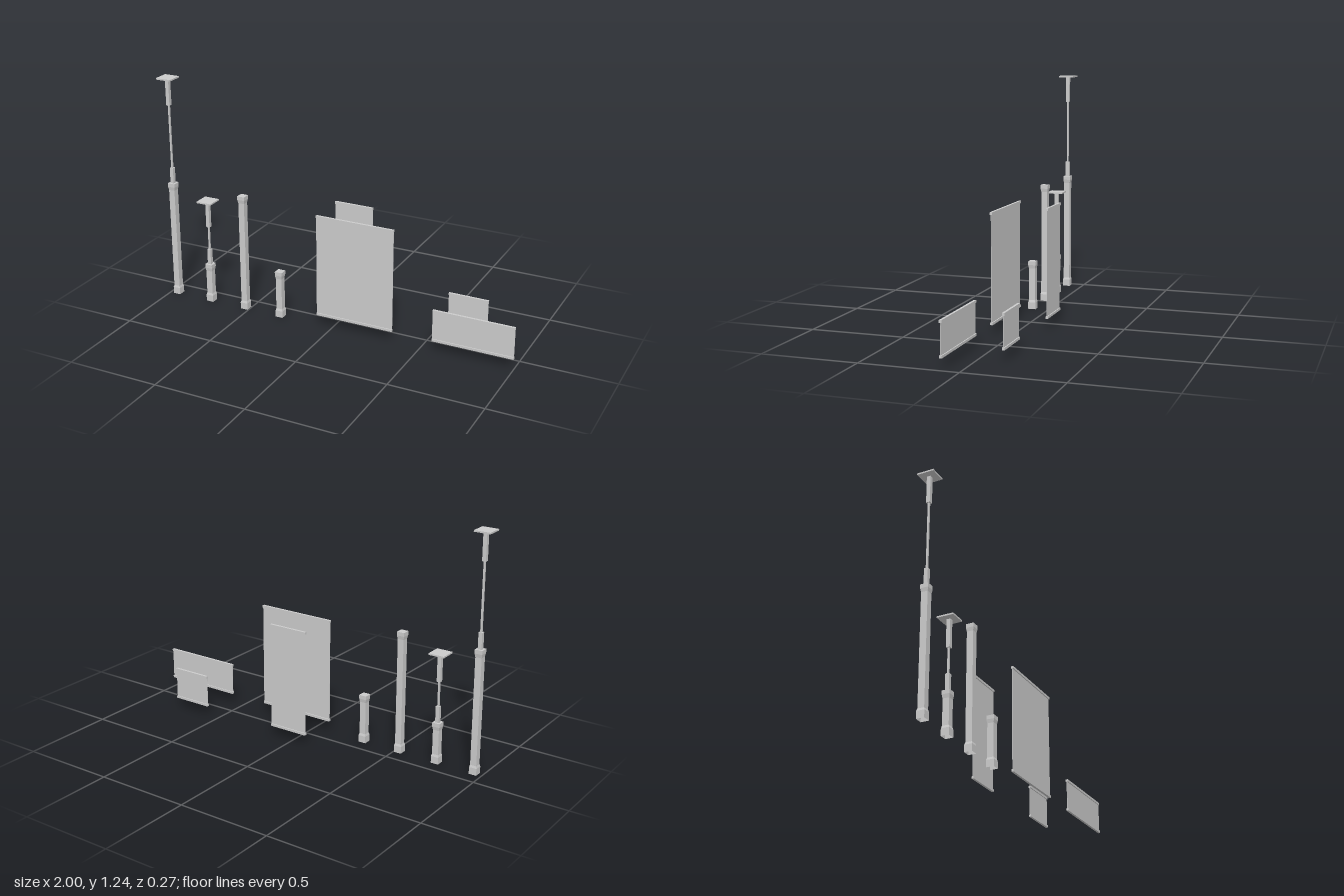
import * as THREE from 'three';

const material = new THREE.MeshStandardMaterial({ color: 0xcccccc, flatShading: true, side: THREE.DoubleSide });
const ROW_Z = 0.091, BACK_Z = -0.128;

function add(parent, name, geometry, x = 0, y = 0, z = 0) {
  const mesh = new THREE.Mesh(geometry, material);
  mesh.name = name;
  mesh.position.set(x, y, z);
  parent.add(mesh);
  return mesh;
}

function box(parent, name, w, h, d, x, y, z) {
  return add(parent, name, new THREE.BoxGeometry(w, h, d), x, y, z);
}

// Square column with flared foot and cap, open underneath
function column(height) {
  const profile = [
    [0.0205, 0], [0.0205, 0.037], [0.017, 0.049],
    [0.017, height - 0.039], [0.0205, height - 0.02], [0.0205, height], [0, height],
  ].map(([half, y]) => new THREE.Vector2(half * Math.SQRT2, y));
  return new THREE.LatheGeometry(profile, 4, Math.PI / 4);
}

function post(name, x, height) {
  const group = new THREE.Group();
  group.name = name;
  group.position.set(x, 0, ROW_Z);
  add(group, 'column', column(height));
  return group;
}

// Telescoping pole and ceiling plate on top of a post
function addPole(group, base, collarTop, sleeveBottom, top) {
  const stage = (name, w, y0, y1) => box(group, name, w, y1 - y0, w, 0, (y0 + y1) / 2, 0);
  stage('collar', 0.02, base, collarTop);
  stage('rod', 0.009, collarTop, sleeveBottom);
  stage('sleeve', 0.02, sleeveBottom, top - 0.008);
  box(group, 'ceilingPlate', 0.086, 0.008, 0.086, 0, top - 0.004, 0);
}

// Thin sheet held between a top rail and a bottom rail
function panel(name, x0, x1, top, z) {
  const group = new THREE.Group();
  group.name = name;
  group.position.set((x0 + x1) / 2, 0, z);
  const w = x1 - x0, rail = 0.0125, bottom = 0.056;
  box(group, 'sheet', w, top - bottom - rail, 0.002, 0, (top + bottom) / 2, 0);
  for (const [part, y] of [['bottomRail', bottom + rail / 2], ['topRail', top - rail / 2]]) {
    box(group, part, w, rail, rail, 0, y, 0);
  }
  return group;
}

export function createModel() {
  const model = new THREE.Group();
  model.name = 'postsAndPanels';

  const tallPolePost = post('tallPolePost', -0.957, 0.654);
  addPole(tallPolePost, 0.654, 0.74, 1.09, 1.241);
  const shortPolePost = post('shortPolePost', -0.742, 0.22);
  addPole(shortPolePost, 0.22, 0.306, 0.437, 0.589);

  model.add(
    tallPolePost,
    shortPolePost,
    post('tallPost', -0.525, 0.654),
    post('shortPost', -0.309, 0.263),
    panel('wideTallPanel', -0.091, 0.343, 0.622, ROW_Z),
    panel('wideLowPanel', 0.563, 0.998, 0.231, ROW_Z),
    panel('narrowTallPanel', -0.091, 0.127, 0.622, BACK_Z),
    panel('narrowLowPanel', 0.563, 0.78, 0.231, BACK_Z),
  );
  return model;
}
